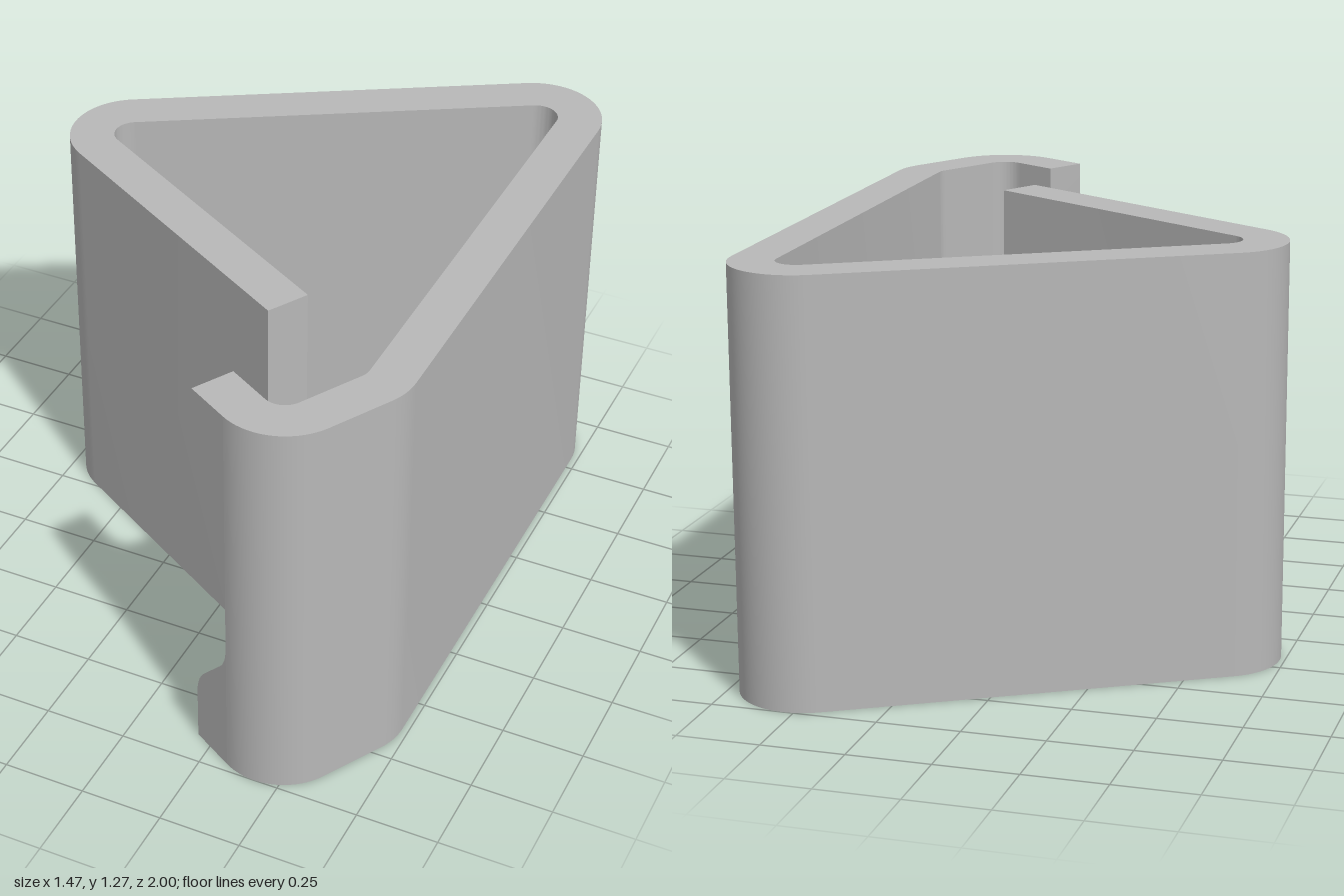
import * as THREE from 'three';
import { toCreasedNormals } from 'three/addons/utils/BufferGeometryUtils.js';

const HEIGHT = 1.27, OUTER = 0.2, INNER = 0.065, WALL = OUTER - INNER;
const rad = THREE.MathUtils.degToRad;

// Bends of the strip in plan: centre x, centre z, start and end angle in degrees
const BENDS = [
  [-0.535, -0.185, 120, 240],
  [0.53, -0.8, 240, 360],
  [0.53, 0.62, 0, 30],
  [0.427, 0.8, 30, 120],
];
const ARM_LENGTH = 0.997;

// One face of the strip: free arm end, then every bend in turn
function side(radius) {
  const [cx, cz] = BENDS[0];
  const points = [[
    cx + radius * Math.cos(rad(120)) + ARM_LENGTH * Math.cos(rad(30)),
    cz + radius * Math.sin(rad(120)) + ARM_LENGTH * Math.sin(rad(30)),
  ]];
  for (const [x, z, from, to] of BENDS) {
    const steps = Math.round((to - from) / 5);
    for (let i = 0; i <= steps; i++) {
      const a = rad(from + (to - from) * i / steps);
      points.push([x + radius * Math.cos(a), z + radius * Math.sin(a)]);
    }
  }
  return points.map(([x, z]) => new THREE.Vector2(x, -z));
}

function extrude(shape, depth) {
  return new THREE.ExtrudeGeometry(shape, { depth, bevelEnabled: false, curveSegments: 10 });
}

// Tab at the hook's end, with an S-curved inner edge; mirrored for the upper one
function tabShape(upper) {
  const y = v => (upper ? HEIGHT - v : v);
  const shape = new THREE.Shape();
  shape.moveTo(0, y(0));
  shape.lineTo(0.15, y(0));
  shape.lineTo(0.15, y(0.17));
  shape.quadraticCurveTo(0.15, y(0.228), 0.112, y(0.27));
  shape.lineTo(0.03, y(0.36));
  shape.quadraticCurveTo(0, y(0.393), 0, y(0.45));
  shape.closePath();
  return shape;
}

export function createModel() {
  const group = new THREE.Group();
  group.name = 'bentStripClip';
  const metal = new THREE.MeshStandardMaterial({ color: 0xb8b8b8 });
  metal.name = 'grey metal';

  // Bent triangular strip
  const outline = new THREE.Shape([...side(OUTER), ...side(INNER).reverse()]);
  const body = new THREE.Mesh(toCreasedNormals(extrude(outline, HEIGHT).rotateX(-Math.PI / 2), 0.5), metal);
  body.name = 'bentStrip';
  group.add(body);

  // Hook tabs above and below the notch
  const [hx, hz, , end] = BENDS[3];
  for (const upper of [false, true]) {
    const tab = new THREE.Mesh(toCreasedNormals(extrude(tabShape(upper), WALL), 0.5), metal);
    tab.name = upper ? 'upperHookTab' : 'lowerHookTab';
    tab.position.set(hx + OUTER * Math.cos(rad(end)), 0, hz + OUTER * Math.sin(rad(end)));
    tab.rotation.y = rad(150);
    group.add(tab);
  }
  return group;
}
